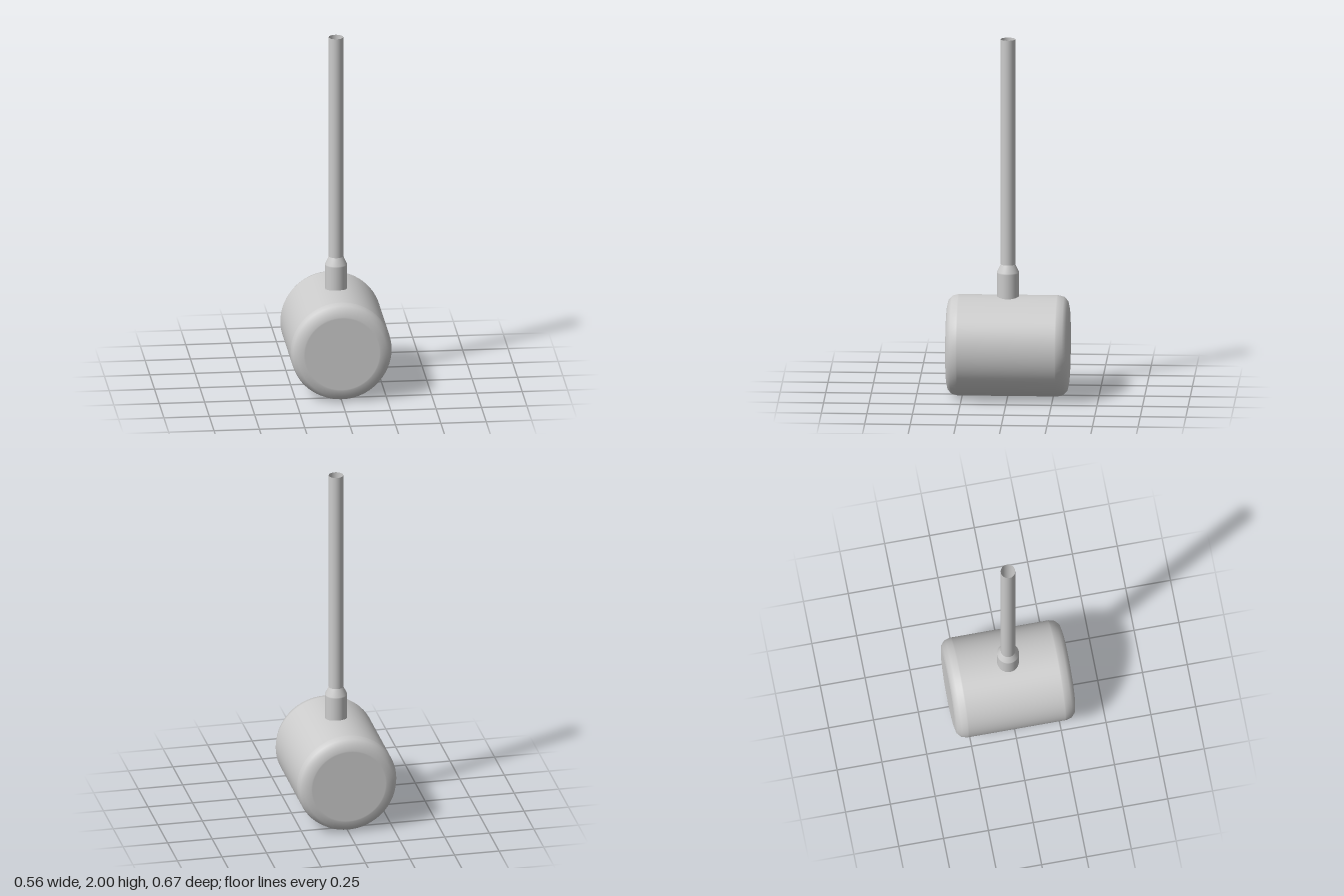
import * as THREE from 'three';

const material = new THREE.MeshStandardMaterial({ color: 0xcccccc, side: THREE.DoubleSide });

// Surface of revolution about y from [radius, height] pairs
function lathe(name, profile, segments) {
  const points = profile.map(([r, y]) => new THREE.Vector2(r, y));
  const mesh = new THREE.Mesh(new THREE.LatheGeometry(points, segments), material);
  mesh.name = name;
  return mesh;
}

export function createModel() {
  const group = new THREE.Group();
  group.name = 'mallet';

  // Head: a drum with rounded rims, lying along z; extra rings keep the wall and faces flat
  const rim = [[0, 0.335], [0.205, 0.335], [0.212, 0.335], [0.246, 0.328], [0.269, 0.307], [0.278, 0.275], [0.278, 0.268]];
  const lower = rim.map(([r, y]) => [r, -y]);
  const head = lathe('head', [...lower, ...rim.reverse()], 64);
  head.rotation.x = Math.PI / 2;
  head.position.y = 0.278;
  group.add(head);

  // Socket: straight collar with a tapered shoulder
  group.add(lathe('socket', [[0.06, 0.5], [0.06, 0.685], [0.06, 0.692], [0.04, 0.735]], 40));

  // Handle: open-ended tube
  group.add(lathe('handle', [[0.04, 0.735], [0.04, 2]], 40));

  return group;
}
